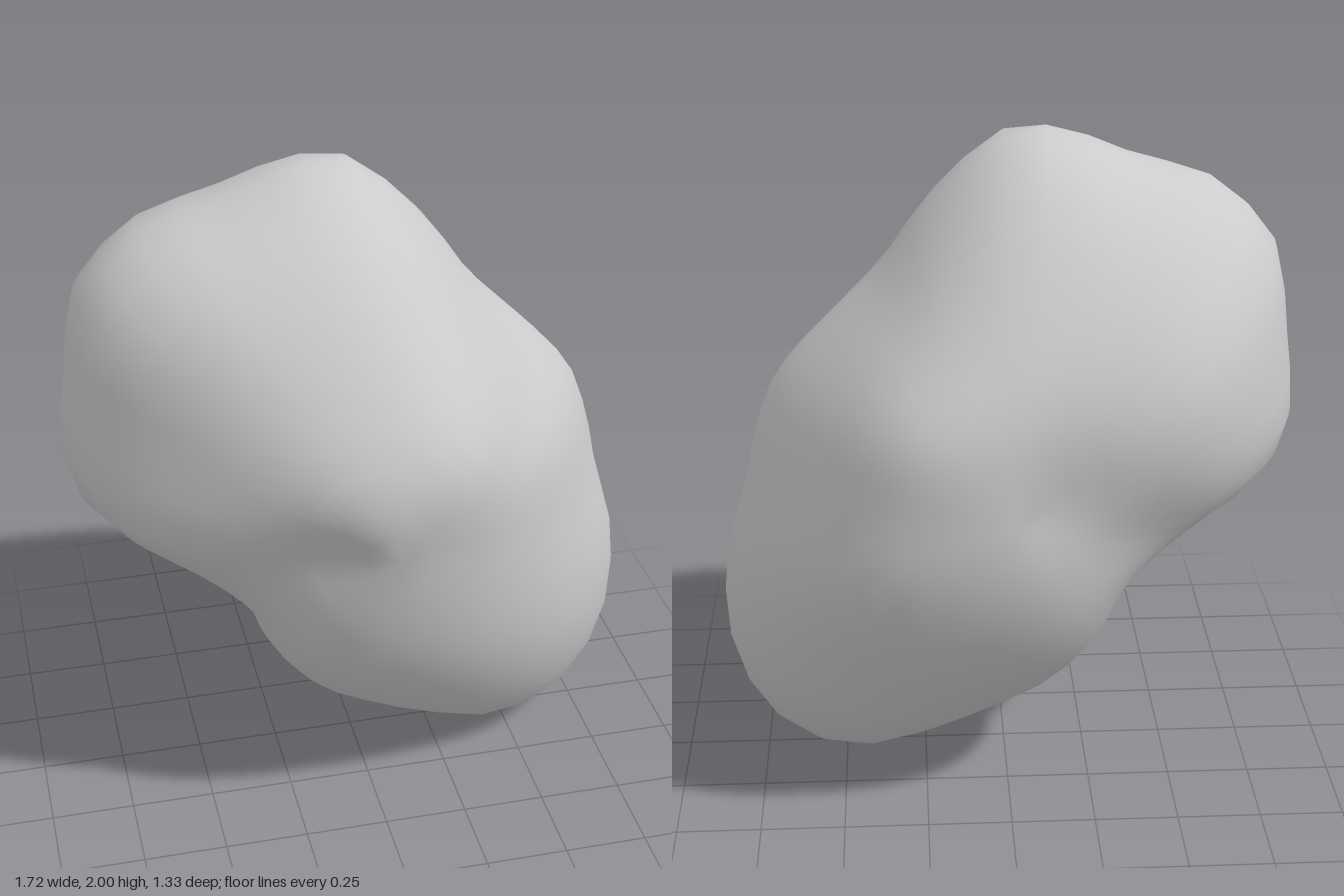
import * as THREE from 'three';
import { mergeVertices } from 'three/addons/utils/BufferGeometryUtils.js';

// Rim of the boulder in the z = 0 plane, counter-clockwise from the right side
const RIM = [
  [0.78, 0.92], [0.74, 1.1], [0.68, 1.26], [0.58, 1.38], [0.5, 1.46], [0.36, 1.6],
  [0.24, 1.77], [0.12, 1.9], [-0.03, 2.0], [-0.2, 1.98], [-0.38, 1.91], [-0.61, 1.84],
  [-0.74, 1.73], [-0.8, 1.64], [-0.83, 1.44], [-0.85, 1.1], [-0.75, 0.96], [-0.6, 0.85],
  [-0.38, 0.68], [-0.3, 0.48], [-0.2, 0.33], [-0.1, 0.24], [0.04, 0.16], [0.24, 0.06],
  [0.52, 0.0], [0.74, 0.13], [0.85, 0.38], [0.85, 0.67],
];
const CENTRE = [0, 1.05];

// Lumps and hollows: [x, y, side (1 front, -1 back), amount, radius]
const BUMPS = [
  // front: upper lobe, crease below it, slanting right flank
  [-0.13, 1.27, 1, 0.045, 0.15], [0.22, 1.38, 1, 0.08, 0.16], [-0.22, 1.04, 1, -0.05, 0.1],
  [-0.45, 0.86, 1, -0.08, 0.14], [0.5, 1.42, 1, -0.08, 0.1], [0.62, 0.85, 1, -0.06, 0.25],
  [-0.7, 1.4, 1, -0.06, 0.2], [0.25, 0.2, 1, -0.06, 0.25], [0.1, 0.75, 1, -0.04, 0.3],
  // back: broad left shoulder, diagonal crease, lower lobe
  [-0.65, 1.35, -1, 0.09, 0.22], [0.4, 1.36, -1, 0.13, 0.16], [0.1, 1.3, -1, 0.02, 0.15],
  [-0.12, 1.12, -1, -0.04, 0.12], [-0.4, 0.92, -1, -0.07, 0.14], [0.6, 0.9, -1, 0.12, 0.25],
  [0.25, 0.2, -1, -0.06, 0.25], [-0.1, 1.8, -1, -0.04, 0.2],
];

// Distance from the centre to the rim, looked up by angle
function makeRimRadius() {
  const curve = new THREE.CatmullRomCurve3(
    RIM.map(([x, y]) => new THREE.Vector3(x - CENTRE[0], y - CENTRE[1], 0)), true);
  const table = curve.getSpacedPoints(200).slice(0, -1)
    .map((p) => ({ a: Math.atan2(p.y, p.x), r: p.length() }))
    .sort((p, q) => p.a - q.a);
  const first = table[0], last = table[table.length - 1];
  table.unshift({ a: last.a - 2 * Math.PI, r: last.r });
  table.push({ a: first.a + 2 * Math.PI, r: first.r });
  return (angle) => {
    const i = table.findIndex((p) => p.a >= angle);
    if (i < 1) return table[0].r;
    const p = table[i - 1], q = table[i];
    return p.r + (q.r - p.r) * (angle - p.a) / (q.a - p.a || 1);
  };
}

// Plain tilted ellipse that the rings approach near the middle of each face
function ellipseRadius(angle) {
  const a = 1.0, b = 0.7, t = angle - 2.07;
  return a * b / Math.hypot(b * Math.cos(t), a * Math.sin(t));
}

// Half thickness, changed by the lumps and hollows
function thickness(x, y, side) {
  let depth = 0.65;
  for (const [bx, by, s, amount, radius] of BUMPS) {
    const d2 = (x - bx) ** 2 + (y - by) ** 2;
    // fade the bumps away on the other side so that the rim stays smooth
    const weight = THREE.MathUtils.smoothstep(side * s, -0.3, 0.3);
    depth += weight * amount * Math.exp(-d2 / (2 * radius * radius));
  }
  return depth;
}

export function createModel() {
  const rimRadius = makeRimRadius();

  // Sphere with its poles on z, stretched to the rim and the thickness
  let geometry = new THREE.SphereGeometry(1, 48, 28).rotateX(Math.PI / 2);
  geometry.deleteAttribute('uv');
  geometry.deleteAttribute('normal');
  geometry = mergeVertices(geometry, 1e-5);
  const pos = geometry.attributes.position;
  for (let i = 0; i < pos.count; i++) {
    const x = pos.getX(i), y = pos.getY(i), z = pos.getZ(i);
    const angle = Math.atan2(y, x), rho = Math.min(1, Math.hypot(x, y));
    const r = THREE.MathUtils.lerp(ellipseRadius(angle), rimRadius(angle), rho * rho);
    const px = CENTRE[0] + x * r, py = CENTRE[1] + y * r;
    // the rim is sharper on the right than on the left
    const swell = Math.sign(z) * Math.abs(z) ** (1.2 + 0.2 * x);
    pos.setXYZ(i, px, py, swell * thickness(px, py, z));
  }
  geometry.computeVertexNormals();

  const boulder = new THREE.Mesh(geometry, new THREE.MeshStandardMaterial({ color: 0xcccccc }));
  boulder.name = 'boulder';
  const group = new THREE.Group();
  group.name = 'rock';
  group.add(boulder);
  return group;
}
